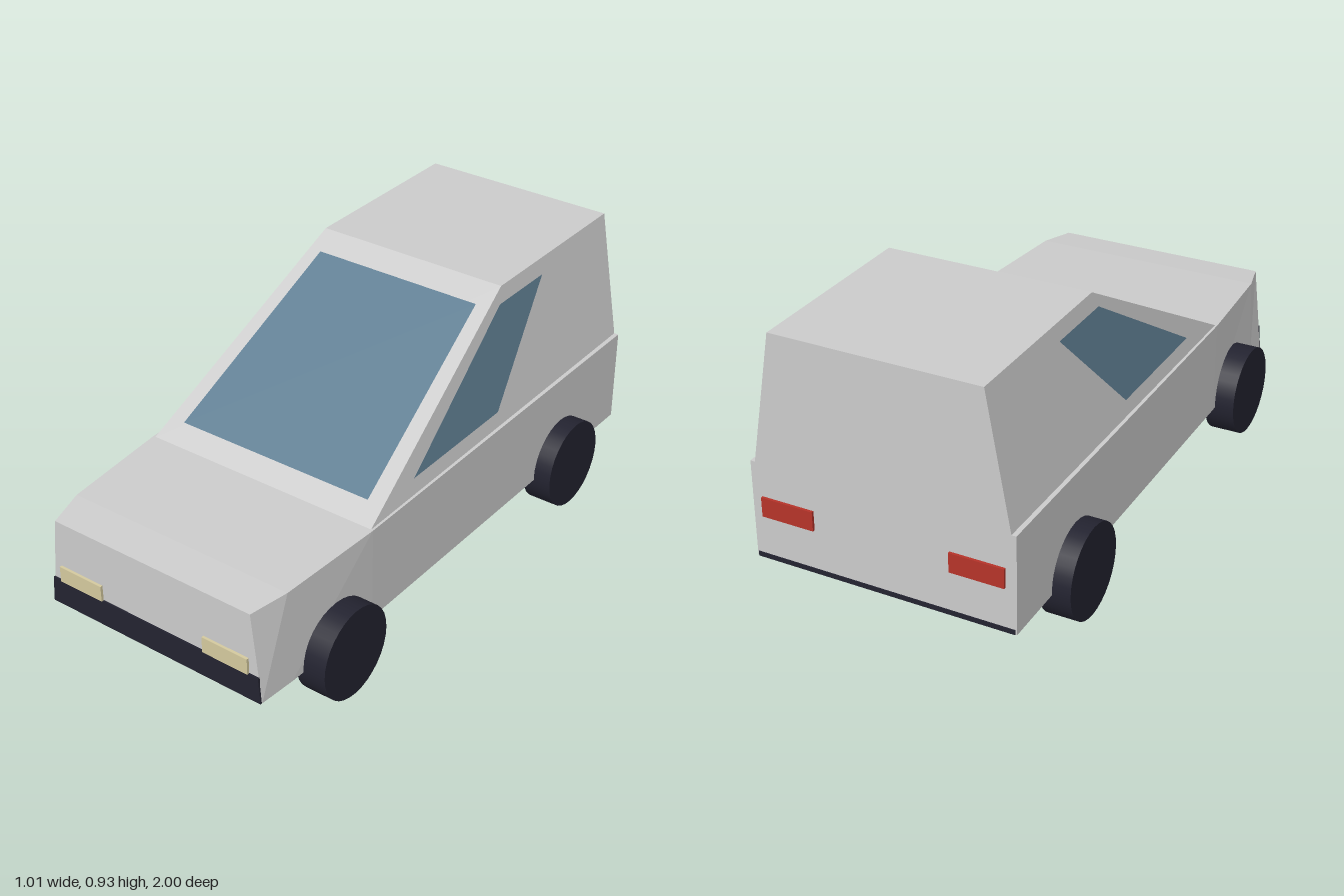
import * as THREE from 'three';

const mat = (name, color, side = THREE.FrontSide) => {
  const m = new THREE.MeshStandardMaterial({ color, side });
  m.name = name;
  return m;
};

// Closed hull from equal-sized cross-sections, each a counter-clockwise loop seen from +z, listed front to back
function loft(sections) {
  const n = sections[0].length, pos = [];
  const tri = (...p) => p.forEach((v) => pos.push(...v));
  for (let s = 0; s < sections.length - 1; s++) {
    const a = sections[s], b = sections[s + 1];
    for (let i = 0; i < n; i++) {
      const j = (i + 1) % n;
      tri(a[i], b[j], a[j]);
      tri(a[i], b[i], b[j]);
    }
  }
  const f = sections[0], r = sections[sections.length - 1];
  for (let i = 1; i < n - 1; i++) {
    tri(f[0], f[i], f[i + 1]);
    tri(r[0], r[i + 1], r[i]);
  }
  return fromTriangles(pos);
}

function fromTriangles(pos) {
  const g = new THREE.BufferGeometry();
  g.setAttribute('position', new THREE.Float32BufferAttribute(pos, 3));
  g.computeVertexNormals();
  return g;
}

// Flat four-cornered panel, counter-clockwise from outside
const panel = (a, b, c, d) => fromTriangles([a, b, c, a, c, d].flat());

// Trapezoid section across the car at a given z
const section = (z, y0, half0, y1, half1, z1 = z) =>
  [[-half0, y0, z], [half0, y0, z], [half1, y1, z1], [-half1, y1, z1]];

export function createModel() {
  const car = new THREE.Group();
  car.name = 'van';
  const paint = mat('body paint', 0xcbcbcb);
  const glass = mat('window glass', 0x5f7e92);
  const dark = mat('dark rubber', 0x232330);
  const lamp = mat('headlight cream', 0xd3c99e);
  const red = mat('tail light red', 0xb53329);

  const add = (name, geometry, material, x = 0, y = 0, z = 0) => {
    const m = new THREE.Mesh(geometry, material);
    m.name = name;
    m.position.set(x, y, z);
    car.add(m);
    return m;
  };

  // Lower body: narrowing nose, slightly rising bonnet
  const base = 0.147;
  add('lowerBody', loft([
    section(0.99, base, 0.415, 0.456, 0.38),
    section(0.86, base, 0.425, 0.467, 0.413),
    section(0.48, base, 0.438, 0.475, 0.438),
    section(-0.99, base, 0.445, 0.48, 0.445),
  ]), paint);

  // Cabin: sloping windscreen, flat roof, upright tail
  const sill = 0.474, roof = 0.925;
  const cabinX = (y) => 0.43 - 0.08 * (y - sill) / (roof - sill);
  const screenZ = (y) => 0.48 - 0.812 * (y - sill) / (roof - sill);
  add('cabin', loft([
    section(0.48, sill, 0.43, roof, 0.35, -0.332),
    section(-0.99, sill, 0.43, roof, 0.35),
  ]), paint);

  // Windscreen
  const screen = (x, y) => [x, y + 0.003, screenZ(y) + 0.002];
  add('windscreen', panel(
    screen(-0.366, 0.515), screen(0.366, 0.515), screen(0.31, 0.88), screen(-0.31, 0.88)), glass);

  // Side windows, front lamps and tail lamps on both sides
  const outline = [[0.245, 0.53], [-0.23, 0.53], [-0.568, 0.872], [-0.31, 0.872]];
  for (const s of [1, -1]) {
    const side = s > 0 ? 'left' : 'right';
    const pts = outline.map(([z, y]) => [s * (cabinX(y) + 0.003), y, z]);
    if (s < 0) pts.reverse();
    add(side + 'Window', panel(...pts), glass);
    add(side + 'Headlight', new THREE.BoxGeometry(0.17, 0.056, 0.009), lamp, s * 0.285, 0.266, 0.9955);
    add(side + 'TailLight', new THREE.BoxGeometry(0.18, 0.066, 0.009), red, s * 0.32, 0.333, -0.9955);
  }

  // Bumpers
  add('frontBumper', loft([
    section(0.996, 0.145, 0.413, 0.238, 0.406),
    section(0.988, 0.145, 0.413, 0.238, 0.406),
  ]), dark);
  add('rearBumperStrip', new THREE.BoxGeometry(0.88, 0.016, 0.004), dark, 0, 0.155, -0.991);

  // Wheels
  const tyre = new THREE.CylinderGeometry(0.156, 0.156, 0.105, 32).rotateZ(Math.PI / 2);
  for (const [end, z] of [['front', 0.655], ['rear', -0.615]]) {
    for (const s of [1, -1]) {
      add(end + (s > 0 ? 'Left' : 'Right') + 'Wheel', tyre, dark, s * 0.4525, 0.156, z);
    }
  }
  return car;
}
